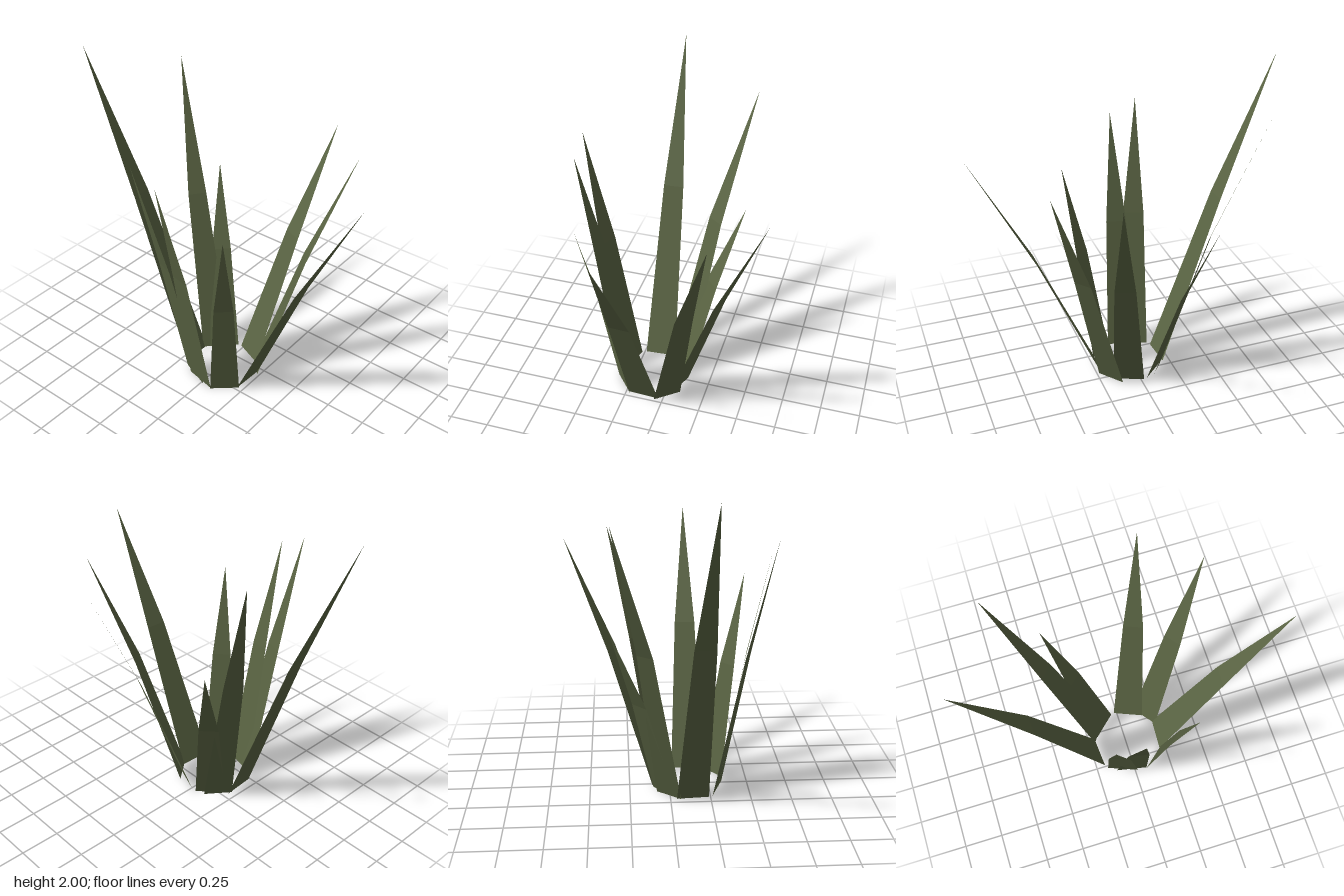
import * as THREE from 'three';

// Each blade: two base corners, middle of the bend (x, z), tip (x, y, z)
const BLADES = [
  { name: 'leftwardLongBlade', base: [[-0.19, 0.24], [-0.205, 0.04]], bend: [-0.6, 0.168], tip: [-0.975, 2.0, 0.197] },
  { name: 'backSideTallBlade', base: [[-0.21, 0.065], [-0.1, -0.08]], bend: [-0.425, -0.16], tip: [-0.69, 1.83, -0.345] },
  { name: 'backShortBlade', base: [[-0.18, 0.03], [-0.04, -0.1]], bend: [-0.255, -0.19], tip: [-0.4, 1.16, -0.36] },
  { name: 'backBlade', base: [[-0.02, -0.105], [0.165, -0.03]], bend: [0.19, -0.35], tip: [0.295, 1.55, -0.635] },
  { name: 'backCornerBlade', base: [[0.12, -0.09], [0.235, 0.055]], bend: [0.398, -0.188], tip: [0.615, 1.55, -0.37] },
  { name: 'sideBlade', base: [[0.22, 0.03], [0.21, 0.235]], bend: [0.6, 0.14], tip: [0.97, 1.6, 0.15] },
  { name: 'frontShortBlade', base: [[0.22, 0.225], [0.08, 0.345]], bend: [0.23, 0.388], tip: [0.315, 1.3, 0.495] },
  { name: 'frontBlade', base: [[0.08, 0.34], [-0.12, 0.3]], bend: [-0.033, 0.468], tip: [-0.05, 1.57, 0.62] },
  { name: 'frontTallBlade', base: [[0.02, 0.34], [-0.175, 0.265]], bend: [-0.152, 0.468], tip: [-0.22, 1.65, 0.625] },
];

const BEND_HEIGHT = 0.556; // share of the tip height
const BEND_WIDTH = 0.64;   // share of the base width

// A flat strip that narrows to the bend, then closes to a point
function bladeGeometry({ base: [a, b], bend, tip }) {
  const y = tip[1] * BEND_HEIGHT;
  const hx = (b[0] - a[0]) * BEND_WIDTH / 2;
  const hz = (b[1] - a[1]) * BEND_WIDTH / 2;
  const corners = [
    [a[0], 0, a[1]], [b[0], 0, b[1]],
    [bend[0] - hx, y, bend[1] - hz], [bend[0] + hx, y, bend[1] + hz],
    tip,
  ];
  const order = [0, 2, 1, 1, 2, 3, 2, 4, 3];
  const geometry = new THREE.BufferGeometry();
  geometry.setAttribute('position',
    new THREE.Float32BufferAttribute(order.flatMap((i) => corners[i]), 3));
  geometry.computeVertexNormals();
  return geometry;
}

export function createModel() {
  const group = new THREE.Group();
  group.name = 'grassTuft';

  const leafGreen = new THREE.MeshStandardMaterial({
    color: 0x5a6443, side: THREE.DoubleSide, flatShading: true,
  });
  leafGreen.name = 'leafGreen';

  // Ring of blades leaning outwards
  for (const blade of BLADES) {
    const mesh = new THREE.Mesh(bladeGeometry(blade), leafGreen);
    mesh.name = blade.name;
    group.add(mesh);
  }
  return group;
}
